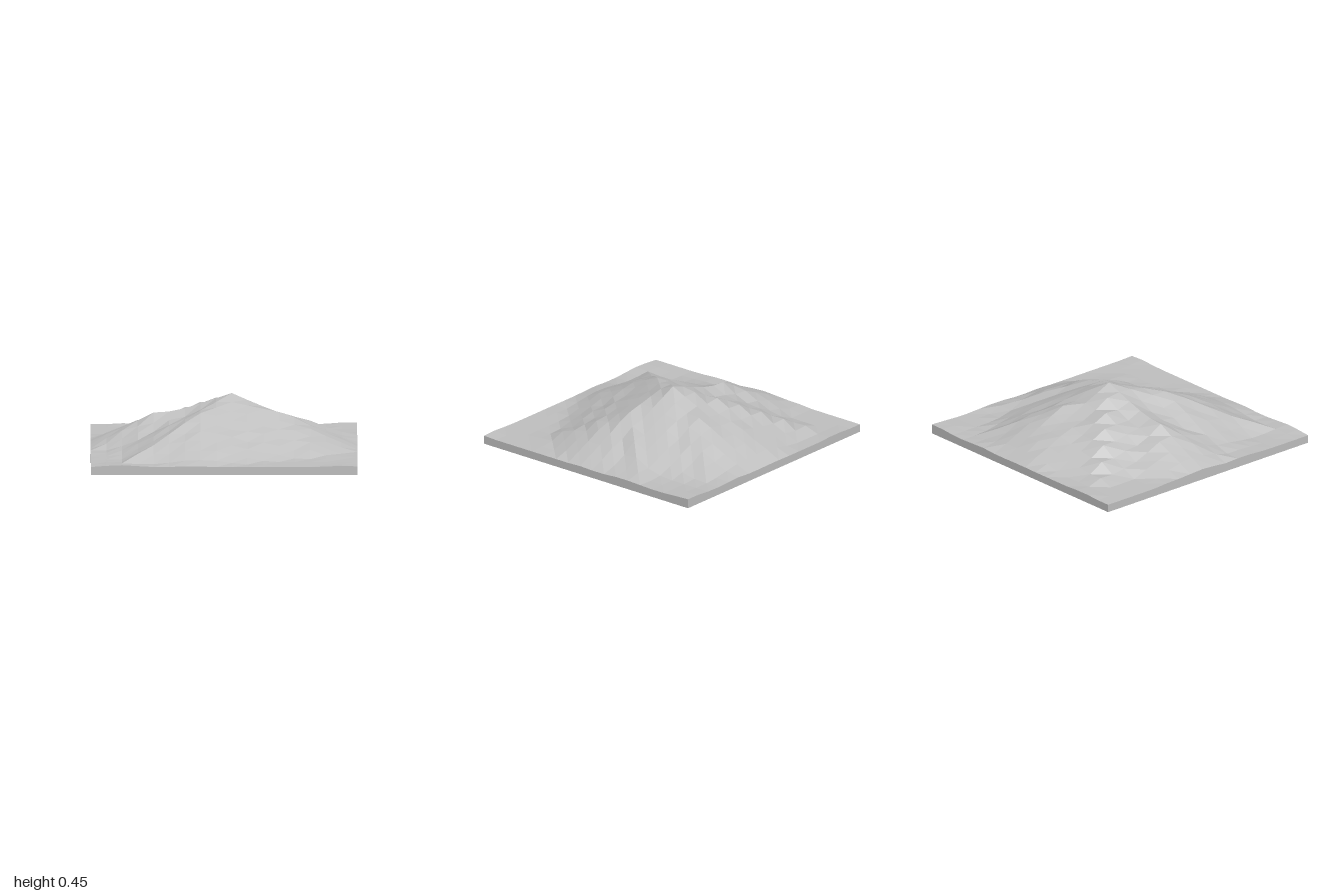
import * as THREE from 'three';

const CELLS = 17;
const GROUND = 0.06;

// Ridge lines running down from the summit, as [x, z, height] points
const SUMMIT = [0.06, -0.06, 0.45];
const BACK_KNEE = [0.06, -0.29, 0.345];
const RIGHT_KNEE = [0.41, 0.06, 0.33];
const RIDGES = [
  [SUMMIT, [-0.18, 0.29, 0.36], [-0.41, 0.53, 0.23], [-0.76, 0.88, 0.07]], // front, towards -x
  [SUMMIT, [-0.29, -0.06, 0.335], [-0.53, -0.06, 0.295], [-0.88, 0.18, 0.09]], // shoulder at -x
  [SUMMIT, [-0.18, -0.29, 0.345], [-0.7, -0.82, 0.07]], // back, towards -x
  [SUMMIT, BACK_KNEE, [0, -0.53, 0.275], [0.06, -0.88, 0.1]], // back
  [BACK_KNEE, [0.18, -0.41, 0.325], [0.53, -0.76, 0.12]], // back, towards +x
  [SUMMIT, RIGHT_KNEE, [0.88, 0.18, 0.1]], // side at +x
  [RIGHT_KNEE, [0.88, -0.41, 0.1]], // side at +x, bending back
  [RIGHT_KNEE, [0.72, 0.6, 0.09]], // side at +x, bending forward
  [SUMMIT, [0.25, 0.25, 0.28], [0.06, 0.8, 0.09]], // front shelf
];

// Height of the slope falling away on both sides of one ridge segment
function segmentHeight(x, z, a, b) {
  const dx = b[0] - a[0], dz = b[1] - a[1];
  const t = THREE.MathUtils.clamp(((x - a[0]) * dx + (z - a[1]) * dz) / (dx * dx + dz * dz), 0, 1);
  const distance = Math.hypot(x - a[0] - t * dx, z - a[1] - t * dz);
  return a[2] + t * (b[2] - a[2]) - 0.45 * distance;
}

function terrainHeight(x, z) {
  const ripple = Math.sin(7.3 * x + 3.1 * z + 1) * Math.sin(5.7 * z - 4.2 * x + 2);
  let height = GROUND + 0.014 * Math.max(0, ripple);
  for (const ridge of RIDGES) {
    for (let i = 1; i < ridge.length; i++) {
      height = Math.max(height, segmentHeight(x, z, ridge[i - 1], ridge[i]));
    }
  }
  // Slight roughness on the slopes, fading at the summit and the ground
  const slope = THREE.MathUtils.smoothstep(height, 0.08, 0.16) * (1 - THREE.MathUtils.smoothstep(height, 0.3, 0.42));
  return height + 0.008 * slope * Math.sin(19 * x + 8 * z) * Math.sin(23 * z - 5 * x);
}

export function createModel() {
  const group = new THREE.Group();
  group.name = 'mountainTerrain';
  const stone = new THREE.MeshStandardMaterial({ color: 0xbfbfbf, flatShading: true });
  stone.name = 'grey stone';

  // A square slab whose upper surface is raised into the mountain
  const slab = new THREE.BoxGeometry(2, 1, 2, CELLS, 1, CELLS);
  const position = slab.attributes.position;
  for (let i = 0; i < position.count; i++) {
    const top = position.getY(i) > 0;
    position.setY(i, top ? terrainHeight(position.getX(i), position.getZ(i)) : 0);
  }
  const geometry = slab.toNonIndexed();
  geometry.clearGroups();
  geometry.computeVertexNormals();

  const terrain = new THREE.Mesh(geometry, stone);
  terrain.name = 'terrain';
  group.add(terrain);
  return group;
}
